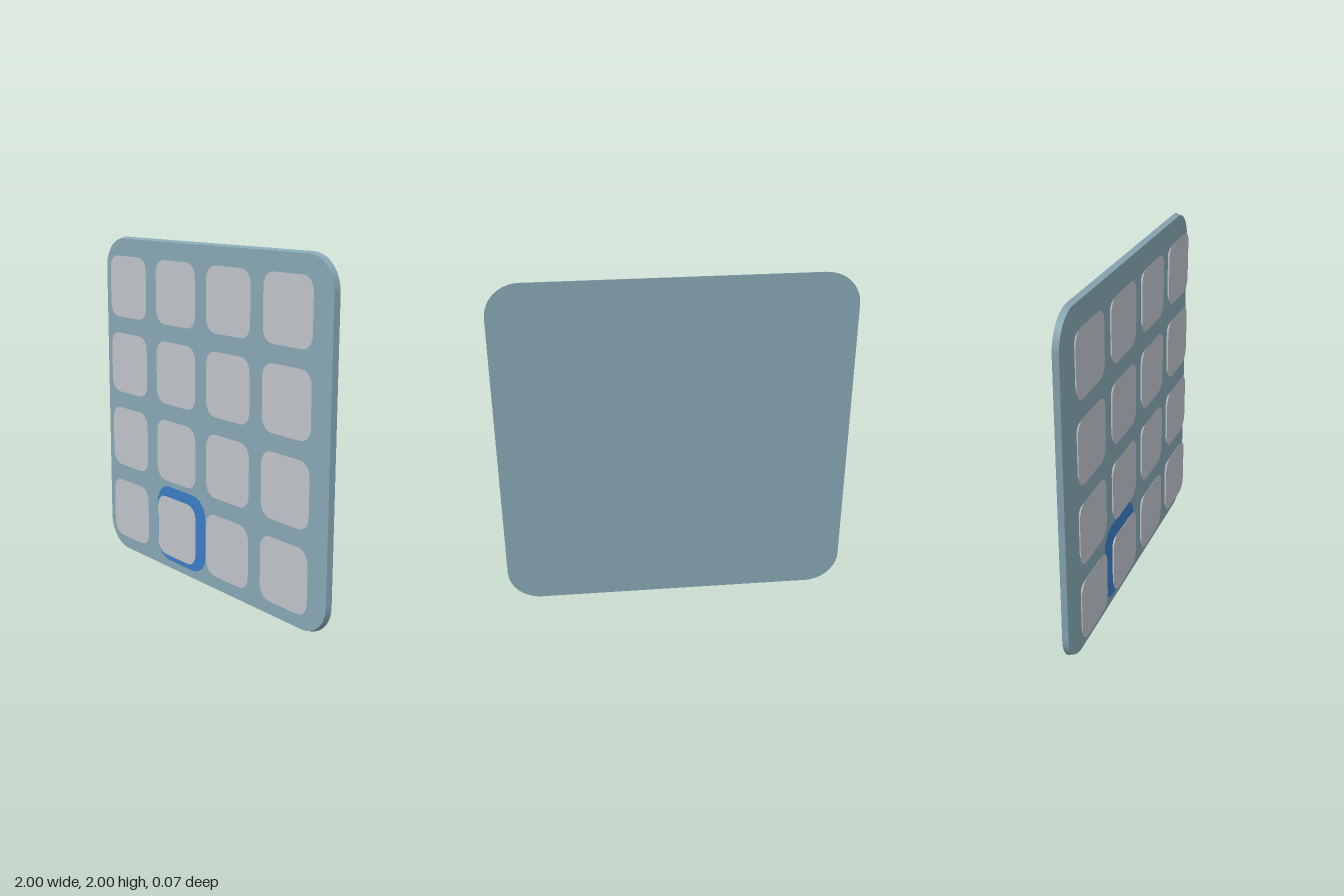
import * as THREE from 'three';

// Outline of a square with rounded corners, counter-clockwise
function outline(half, radius, segments) {
  const pts = [];
  const c = half - radius;
  [[c, c], [-c, c], [-c, -c], [c, -c]].forEach(([cx, cy], q) => {
    for (let i = 0; i <= segments; i++) {
      const a = (q + i / segments) * Math.PI / 2;
      pts.push(new THREE.Vector2(cx + radius * Math.cos(a), cy + radius * Math.sin(a)));
    }
  });
  return pts;
}

// Smooth wall joining a back outline to a front outline
function wallGeometry(back, front, zBack, zFront) {
  const n = back.length;
  const pos = [];
  const index = [];
  back.forEach(p => pos.push(p.x, p.y, zBack));
  front.forEach(p => pos.push(p.x, p.y, zFront));
  for (let i = 0; i < n; i++) {
    const j = (i + 1) % n;
    index.push(i, j, n + j, i, n + j, n + i);
  }
  const g = new THREE.BufferGeometry();
  g.setAttribute('position', new THREE.Float32BufferAttribute(pos, 3));
  g.setIndex(index);
  g.computeVertexNormals();
  return g;
}

// Slab with tapered sides and flat faces
function slab(name, material, back, front, zBack, zFront) {
  const group = new THREE.Group();
  group.name = name;
  const add = (part, geometry) => {
    const mesh = new THREE.Mesh(geometry, material);
    mesh.name = name + part;
    group.add(mesh);
  };
  add('Side', wallGeometry(back, front, zBack, zFront));
  add('Front', new THREE.ShapeGeometry(new THREE.Shape(front)).translate(0, 0, zFront));
  add('Back', new THREE.ShapeGeometry(new THREE.Shape(back)).rotateY(Math.PI).translate(0, 0, zBack));
  return group;
}

export function createModel() {
  const boardMaterial = new THREE.MeshStandardMaterial({ name: 'dusty blue', color: 0x87a7b3 });
  const padMaterial = new THREE.MeshStandardMaterial({ name: 'light grey', color: 0xbec3c9 });
  const highlightMaterial = new THREE.MeshStandardMaterial({ name: 'bright blue', color: 0x3a7dc4 });

  const model = new THREE.Group();
  model.name = 'buttonPanel';

  // Backing board, slightly smaller at the front
  const board = slab('board', boardMaterial, outline(1, 0.19, 10), outline(0.99, 0.18, 10), -0.036, -0.004);
  board.position.y = 1;
  model.add(board);

  // Four by four pads floating in front, undercut towards the back
  const pitch = 0.47;
  for (let row = 0; row < 4; row++) {
    for (let col = 0; col < 4; col++) {
      const pad = slab('pad', padMaterial, outline(0.153, 0.043, 4), outline(0.185, 0.075, 4), 0.016, 0.036);
      pad.position.set((col - 1.5) * pitch, 1 + (row - 1.5) * pitch, 0);
      model.add(pad);
    }
  }

  // Flat highlight behind one pad of the bottom row
  const highlight = new THREE.Mesh(
    new THREE.ShapeGeometry(new THREE.Shape(outline(0.235, 0.12, 5))),
    highlightMaterial
  );
  highlight.name = 'highlight';
  highlight.position.set(-0.5 * pitch, 1 - 1.5 * pitch, 0.002);
  model.add(highlight);

  return model;
}
